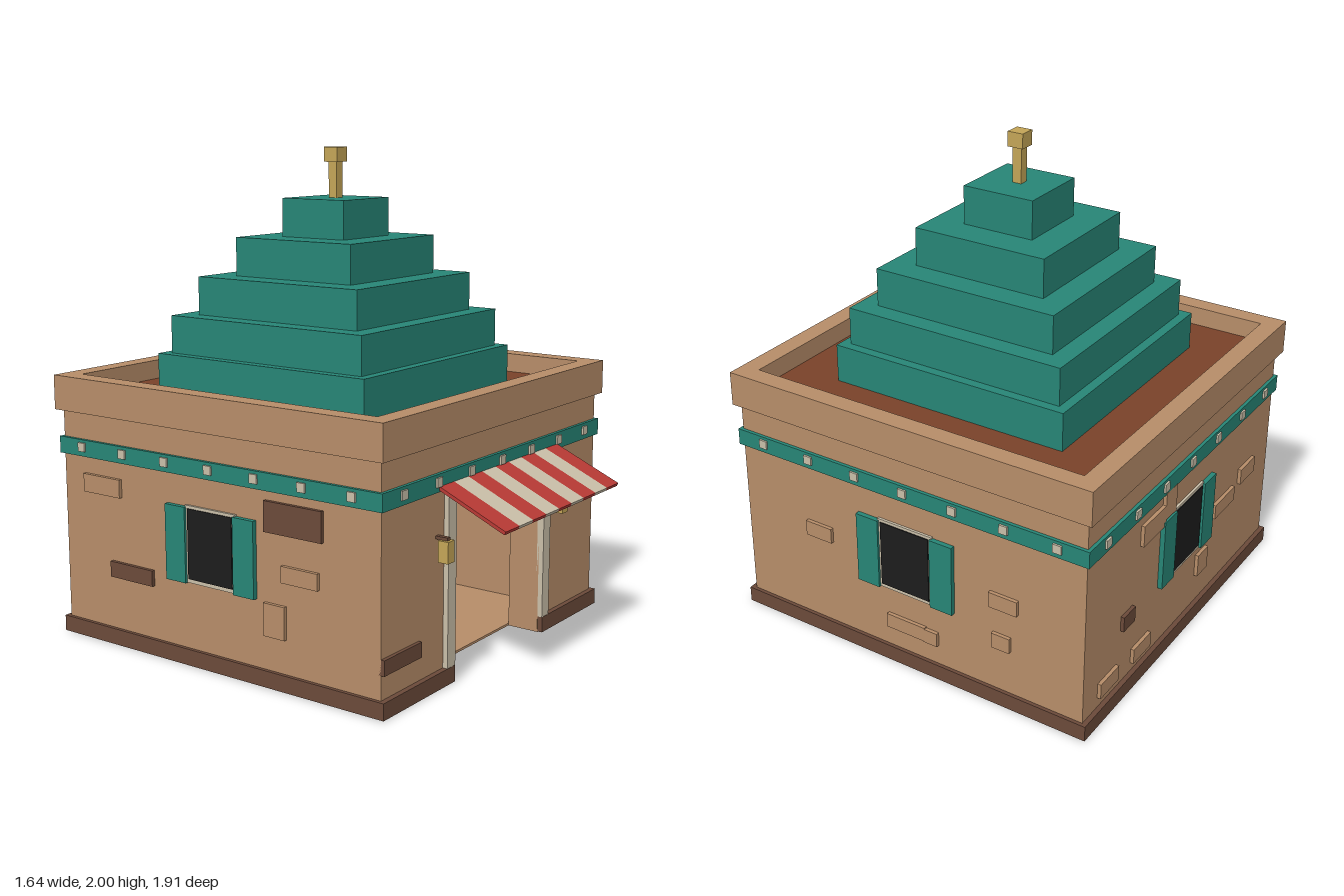
import * as THREE from 'three';

const mat = (name, color) => {
  const m = new THREE.MeshStandardMaterial({ color });
  m.name = name;
  return m;
};

export function createModel() {
  const tan = mat('clay', 0xb78d69);
  const teal = mat('teal', 0x278576);
  const dark = mat('darkBrown', 0x6b4a3a);
  const rust = mat('rust', 0x7a4229);
  const cream = mat('cream', 0xcabfa9);
  const red = mat('red', 0xb83a35);
  const gold = mat('gold', 0xc4a557);
  const black = mat('windowBlack', 0x1c1c1c);
  const rugMat = mat('rugBrown', 0x8a4520);

  const model = new THREE.Group();
  model.name = 'shop';
  const CZ = -0.137; // centre of the building along z

  // Box given by its minimum and maximum corners
  function box(name, m, x0, x1, y0, y1, z0, z1, parent = model) {
    const mesh = new THREE.Mesh(new THREE.BoxGeometry(x1 - x0, y1 - y0, z1 - z0), m);
    mesh.position.set((x0 + x1) / 2, (y0 + y1) / 2, (z0 + z1) / 2);
    mesh.name = name;
    parent.add(mesh);
    return mesh;
  }

  // Flat outline given as [x, y] corners, extruded by a depth
  function plate(name, m, points, depth) {
    const shape = new THREE.Shape(points.map(([x, y]) => new THREE.Vector2(x, y)));
    const mesh = new THREE.Mesh(new THREE.ExtrudeGeometry(shape, { depth, bevelEnabled: false }), m);
    mesh.name = name;
    model.add(mesh);
    return mesh;
  }

  // Floor slab with a notch at the doorway, and the rug on it
  plate('floorSlab', tan, [
    [-0.795, 0.935], [0.795, 0.935], [0.795, -0.66], [0.335, -0.66],
    [0.335, -0.52], [-0.335, -0.52], [-0.335, -0.66], [-0.795, -0.66],
  ], 0.01).rotation.x = -Math.PI / 2;
  box('rug', rugMat, -0.31, 0.31, 0.01, 0.02, -0.4, 0.03);
  box('rugPanel', gold, -0.21, 0.21, 0.02, 0.023, -0.3, -0.07);

  // Walls; the front one has the doorway cut out
  plate('frontWall', tan, [
    [-0.795, 0.005], [-0.335, 0.005], [-0.335, 0.74], [0.335, 0.74],
    [0.335, 0.005], [0.795, 0.005], [0.795, 0.96], [-0.795, 0.96],
  ], 0.138).position.z = 0.52;
  box('backWall', tan, -0.795, 0.795, 0.005, 0.96, -0.93, -0.79);
  for (const s of [-1, 1]) {
    const [a, b] = s > 0 ? [0.655, 0.795] : [-0.795, -0.655];
    box('sideWall', tan, a, b, 0.005, 0.96, -0.79, 0.52);
  }
  box('ceiling', tan, -0.655, 0.655, 0.9, 0.955, -0.79, 0.52);

  // Skirting
  box('skirtingBack', dark, -0.81, 0.81, 0.002, 0.068, -0.95, -0.85);
  for (const s of [-1, 1]) {
    const sx = (a, b) => (s > 0 ? [a, b] : [-b, -a]);
    box('skirtingSide', dark, ...sx(0.72, 0.81), 0.002, 0.068, -0.85, 0.6);
    box('skirtingFront', dark, ...sx(0.337, 0.81), 0.002, 0.068, 0.6, 0.68);
  }

  // Parapet ring and flat roof
  for (const s of [-1, 1]) {
    const [a, b] = s > 0 ? [0.74, 0.82] : [-0.82, -0.74];
    box('parapetSide', tan, a, b, 0.948, 1.09, -0.955, 0.682);
  }
  box('parapetFront', tan, -0.74, 0.74, 0.948, 1.09, 0.602, 0.682);
  box('parapetBack', tan, -0.74, 0.74, 0.948, 1.09, -0.955, -0.875);
  box('flatRoof', rust, -0.74, 0.74, 0.957, 1.01, -0.875, 0.602);

  // Stepped roof and finial
  const tiers = [[0.52, 1.01, 1.168], [0.48, 1.168, 1.323], [0.4, 1.323, 1.48], [0.29, 1.48, 1.638], [0.155, 1.638, 1.795]];
  for (const [h, y0, y1] of tiers) box('roofTier', teal, -h, h, y0, y1, CZ - h, CZ + h);
  box('finialPost', gold, -0.02, 0.02, 1.795, 1.94, CZ - 0.02, CZ + 0.02);
  box('finialCap', gold, -0.034, 0.034, 1.94, 2, CZ - 0.034, CZ + 0.034);

  // Wall frames: local x runs along the wall, z points outwards from its surface
  function wallFrame(name, x, z, angle) {
    const g = new THREE.Group();
    g.name = name;
    g.position.set(x, 0, z);
    g.rotation.y = angle;
    model.add(g);
    return g;
  }
  const frontFace = wallFrame('frontFace', 0, 0.658, 0);
  const backFace = wallFrame('backFace', 0, -0.93, Math.PI);
  const rightFace = wallFrame('plusXFace', 0.795, CZ, Math.PI / 2);
  const leftFace = wallFrame('minusXFace', -0.795, CZ, -Math.PI / 2);

  // Teal band with studs on every wall
  for (const f of [frontFace, backFace, rightFace, leftFace]) {
    const w = f === frontFace || f === backFace ? 0.809 : 0.793;
    box('band', teal, -w, w, 0.767, 0.836, -0.01, 0.014, f);
    for (let i = -3; i <= 3; i++) {
      const x = i * 0.226;
      box('stud', cream, x - 0.018, x + 0.018, 0.788, 0.824, 0.01, 0.022, f);
    }
  }

  // Shuttered windows
  for (const f of [backFace, rightFace, leftFace]) {
    box('windowFrame', cream, -0.127, 0.127, 0.34, 0.65, -0.01, 0.01, f);
    box('windowPane', black, -0.112, 0.112, 0.356, 0.638, 0.008, 0.014, f);
    for (const s of [-1, 1]) {
      const c = s * 0.172;
      box('shutter', teal, c - 0.051, c + 0.051, 0.338, 0.643, -0.01, 0.02, f);
    }
  }

  // Raised bricks: local centre x, centre y, width, height
  function bricks(f, m, list) {
    for (const [x, y, w, h] of list) box('brick', m, x - w / 2, x + w / 2, y - h / 2, y + h / 2, -0.01, 0.015, f);
  }
  bricks(frontFace, dark, [[-0.675, 0.193, 0.24, 0.06]]);
  bricks(rightFace, tan, [
    [-0.42, 0.485, 0.125, 0.065], [0.447, 0.475, 0.125, 0.065],
    [0.438, 0.295, 0.08, 0.065], [-0.002, 0.19, 0.18, 0.062], [0.115, 0.186, 0.063, 0.06],
  ]);
  bricks(backFace, tan, [
    [-0.616, 0.145, 0.14, 0.065], [-0.357, 0.14, 0.14, 0.065], [0.347, 0.437, 0.185, 0.065],
    [0.565, 0.485, 0.14, 0.07], [0.162, 0.25, 0.09, 0.1], [-0.3, 0.67, 0.18, 0.09], [-0.17, 0.71, 0.09, 0.12],
  ]);
  bricks(backFace, dark, [[-0.477, 0.35, 0.09, 0.065]]);
  bricks(leftFace, tan, [[-0.575, 0.66, 0.2, 0.075], [0.315, 0.27, 0.1, 0.13], [0.435, 0.46, 0.17, 0.065]]);
  bricks(leftFace, dark, [[-0.421, 0.32, 0.23, 0.065], [0.405, 0.67, 0.27, 0.12]]);

  // Door surround
  for (const s of [-1, 1]) {
    const [a, b] = s > 0 ? [0.335, 0.39] : [-0.39, -0.335];
    box('doorPost', cream, a, b, 0.068, 0.73, 0.65, 0.679);
  }
  box('doorLintel', cream, -0.39, 0.39, 0.73, 0.767, 0.65, 0.679);

  // Striped sloping awning
  const awning = new THREE.Group();
  awning.name = 'awning';
  awning.position.set(0, 0.784, 0.663);
  awning.rotation.x = Math.atan2(0.128, 0.29);
  model.add(awning);
  const stripe = 0.89 / 9;
  for (let i = 0; i < 9; i++) {
    const x = -0.445 + i * stripe;
    box('awningStripe', i % 2 ? cream : red, x, x + stripe, -0.007, 0.007, 0, 0.316, awning);
  }

  // Lanterns on brackets beside the door
  for (const s of [-1, 1]) {
    const x = s * 0.437;
    box('lantern', gold, x - 0.022, x + 0.022, 0.503, 0.587, 0.677, 0.721);
    box('lanternBracket', dark, x - 0.01, x + 0.01, 0.587, 0.599, 0.65, 0.71);
  }

  return model;
}
